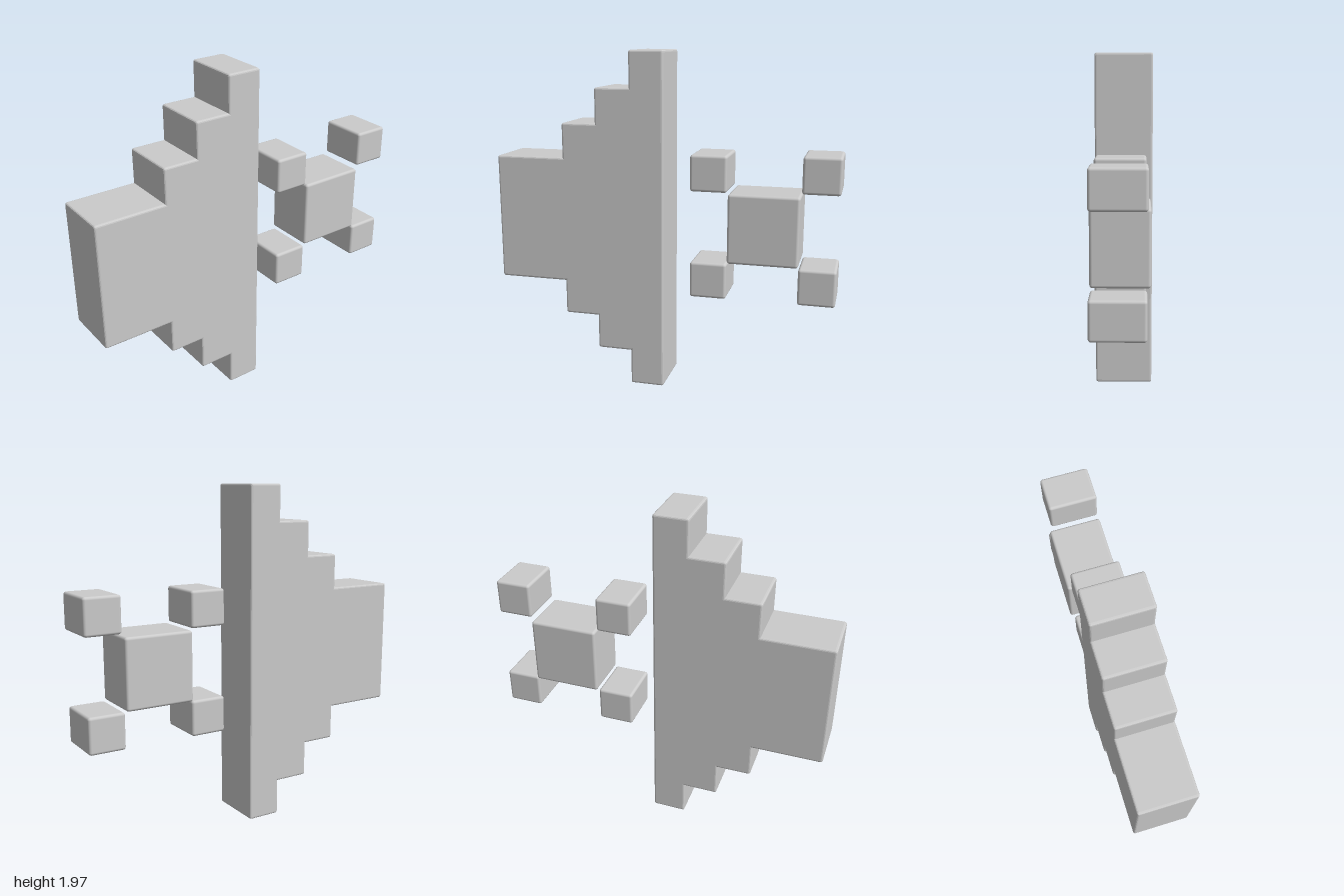
import * as THREE from 'three';
import { RoundedBoxGeometry } from 'three/addons/geometries/RoundedBoxGeometry.js';

const material = new THREE.MeshStandardMaterial({ color: 0xcccccc });
const MID_Y = 0.985;

// Stepped slab, mirrored about MID_Y, with softly rounded outer edges
function createHorn() {
  const steps = [[-1, 0.371], [-0.592, 0.573], [-0.39, 0.777], [-0.187, 0.985]]; // left x, half height
  const right = 0.013, bevel = 0.012, halfDepth = 0.168;

  const upper = [];
  steps.forEach(([x, h], i) => {
    upper.push([x, h]);
    upper.push([i < steps.length - 1 ? steps[i + 1][0] : right, h]);
  });
  const lower = upper.map(([x, h]) => [x, -h]).reverse();
  const points = [...upper, ...lower].map(([x, y]) => new THREE.Vector2(x, y + MID_Y));

  // Round convex corners only; the outline runs clockwise
  const shape = new THREE.Shape();
  const n = points.length, radius = 0.014;
  points.forEach((p, i) => {
    const a = points[(i + n - 1) % n].clone().sub(p).normalize();
    const b = points[(i + 1) % n].clone().sub(p).normalize();
    const convex = a.x * b.y - a.y * b.x > 0;
    const start = convex ? p.clone().addScaledVector(a, radius) : p;
    if (i === 0) shape.moveTo(start.x, start.y);
    else shape.lineTo(start.x, start.y);
    if (convex) {
      const end = p.clone().addScaledVector(b, radius);
      shape.quadraticCurveTo(p.x, p.y, end.x, end.y);
    }
  });
  shape.closePath();

  const geometry = new THREE.ExtrudeGeometry(shape, {
    depth: 2 * (halfDepth - bevel), curveSegments: 3,
    bevelThickness: bevel, bevelSize: bevel, bevelOffset: -bevel, bevelSegments: 3,
  });
  geometry.translate(0, 0, -halfDepth + bevel);
  const horn = new THREE.Mesh(geometry, material);
  horn.name = 'steppedHorn';
  return horn;
}

// Rounded block given by its centre and size
function createBlock(name, [x, y, z], [w, h, d]) {
  const block = new THREE.Mesh(new RoundedBoxGeometry(w, h, d, 3, 0.016), material);
  block.position.set(x, y, z);
  block.name = name;
  return block;
}

export function createModel() {
  const model = new THREE.Group();
  model.name = 'mutedSpeaker';
  model.add(createHorn());

  // Cross made of five separate blocks
  const cross = new THREE.Group();
  cross.name = 'cross';
  cross.add(createBlock('crossCentre', [0.581, 0.986, 0.002], [0.402, 0.402, 0.31]));
  const corners = [
    ['crossUpperRight', [0.269, 1.296, 0.012]],
    ['crossLowerRight', [0.272, 0.677, 0.012]],
    ['crossUpperLeft', [0.893, 1.308, 0.007]],
    ['crossLowerLeft', [0.888, 0.677, 0.01]],
  ];
  for (const [name, centre] of corners) {
    cross.add(createBlock(name, centre, [0.211, 0.208, 0.286]));
  }
  model.add(cross);
  return model;
}
